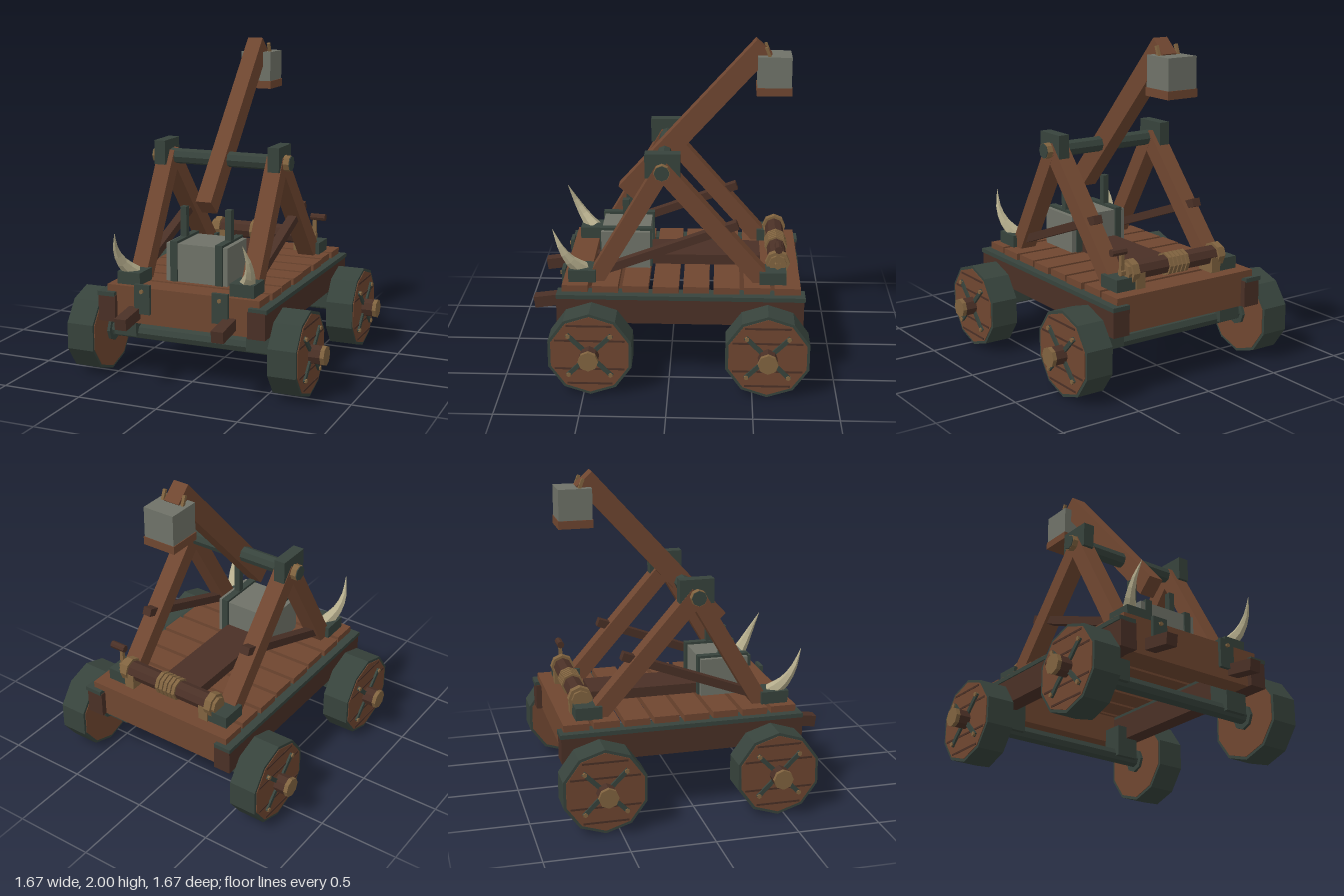
import * as THREE from 'three';

const mat = (name, color) => {
  const m = new THREE.MeshStandardMaterial({ color, flatShading: true });
  m.name = name;
  return m;
};

export function createModel() {
  const wood = mat('wood', 0x6f4630);
  const darkWood = mat('dark wood', 0x4a3026);
  const iron = mat('green iron', 0x37433c);
  const stone = mat('stone', 0x6f7268);
  const brass = mat('brass', 0x80633f);
  const bone = mat('bone', 0xb5ad8c);
  const root = new THREE.Group();
  root.name = 'catapult';

  const add = (name, geo, material, x = 0, y = 0, z = 0, parent = root) => {
    const m = new THREE.Mesh(geo, material);
    m.name = name;
    m.position.set(x, y, z);
    parent.add(m);
    return m;
  };
  // Box given by its limits on each axis
  const box = (name, material, [x0, x1], [y0, y1], [z0, z1], parent = root) =>
    add(name, new THREE.BoxGeometry(x1 - x0, y1 - y0, z1 - z0), material,
      (x0 + x1) / 2, (y0 + y1) / 2, (z0 + z1) / 2, parent);
  // Cylinder lying along x, with a corner pointing up
  const rod = (name, material, r, [x0, x1], y, z, sides = 8, parent = root) =>
    add(name, new THREE.CylinderGeometry(r, r, x1 - x0, sides).rotateY(Math.PI / 2).rotateZ(Math.PI / 2),
      material, (x0 + x1) / 2, y, z, parent);
  // Beam between two [z, y] points
  const beam = (name, material, x, width, thick, [z0, y0], [z1, y1], parent = root) => {
    const m = add(name, new THREE.BoxGeometry(width, Math.hypot(z1 - z0, y1 - y0), thick),
      material, x, (y0 + y1) / 2, (z0 + z1) / 2, parent);
    m.rotation.x = Math.atan2(z1 - z0, y1 - y0);
    return m;
  };
  // Limits mirrored to the given side
  const span = (s, a, b) => (s > 0 ? [a, b] : [-b, -a]);

  // Deck: planks with gaps, cross beams and a central board
  for (let i = 0; i < 8; i++) {
    const z = -0.785 + i * 0.182, w = i % 2 ? 0.49 : 0.497;
    box('deckPlank', wood, [-w, w], [0.555, 0.597], [z, z + 0.156]);
  }
  box('frontCrossBeam', wood, [-0.43, 0.43], [0.375, 0.555], [0.52, 0.645]);
  box('backCrossBeam', wood, [-0.43, 0.43], [0.375, 0.555], [-0.77, -0.65]);
  box('centreBoard', darkWood, [-0.13, 0.13], [0.597, 0.66], [-0.55, 0.14]);

  // Wheel, built for the left side around its own centre
  const buildWheel = () => {
    const g = new THREE.Group();
    g.name = 'wheel';
    rod('tyre', iron, 0.26, [0.562, 0.735], 0, 0, 10, g);
    rod('wheelDisc', wood, 0.242, [0.558, 0.739], 0, 0, 10, g);
    for (const y of [-0.185, -0.09, 0.09, 0.185]) {
      const h = Math.sqrt(0.235 ** 2 - y * y) - 0.01;
      box('plankGap', darkWood, [0.737, 0.742], [y - 0.006, y + 0.006], [-h, h], g);
    }
    for (let i = 0; i < 4; i++) {
      const a = Math.PI / 4 + i * Math.PI / 2, c = Math.cos(a), s = Math.sin(a);
      beam('spoke', iron, 0.745, 0.014, 0.026, [0.04 * c, 0.04 * s], [0.185 * c, 0.185 * s], g);
      rod('spokeBolt', brass, 0.014, [0.745, 0.76], 0.175 * s, 0.175 * c, 6, g);
    }
    rod('hub', darkWood, 0.058, [0.735, 0.81], 0, 0, 8, g);
    rod('hubCap', brass, 0.06, [0.81, 0.835], 0, 0, 8, g);
    rod('innerCollar', iron, 0.075, [0.54, 0.56], 0, 0, 8, g);
    return g;
  };

  for (const z of [0.46, -0.587]) {
    rod('axle', iron, 0.047, [-0.56, 0.56], 0.265, z, 8);
    for (const s of [1, -1]) {
      const w = buildWheel();
      w.position.set(0, 0.262, z);
      if (s < 0) w.rotation.y = Math.PI;
      root.add(w);
      box('axleBracket', iron, span(s, 0.36, 0.51), [0.25, 0.45], [z - 0.07, z + 0.07]);
    }
  }

  // Tapered curved tusk
  const buildTusk = (s) => {
    const path = new THREE.CatmullRomCurve3([[0.365, 0.65, 0.53], [0.408, 0.72, 0.595],
      [0.425, 0.81, 0.65], [0.405, 0.925, 0.702]].map(([x, y, z]) => new THREE.Vector3(s * x, y, z)));
    const n = 6, sides = 6;
    const geo = new THREE.TubeGeometry(path, n, 0.05, sides);
    const pos = geo.attributes.position, v = new THREE.Vector3();
    for (let i = 0; i < pos.count; i++) {
      const t = Math.floor(i / (sides + 1)) / n;
      const c = path.getPointAt(t);
      v.fromBufferAttribute(pos, i).sub(c).multiplyScalar(1 - 0.98 * t).add(c);
      pos.setXYZ(i, v.x, v.y, v.z);
    }
    geo.computeVertexNormals();
    return geo;
  };

  for (const s of [1, -1]) {
    // Side rails with iron strips
    box('sideBeam', darkWood, span(s, 0.425, 0.535), [0.375, 0.535], [-0.805, 0.675]);
    box('sideStrip', iron, span(s, 0.43, 0.543), [0.53, 0.556], [-0.812, 0.675]);
    // Front prongs and iron plates
    beam('frontProng', darkWood, s * 0.307, 0.075, 0.07, [0.4, 0.475], [0.835, 0.415]);
    box('frontPlate', iron, span(s, 0.2, 0.3), [0.44, 0.62], [0.645, 0.667]);
    for (const x of [0.25]) add('plateBolt', new THREE.CylinderGeometry(0.013, 0.013, 0.015, 6)
      .rotateX(Math.PI / 2), brass, s * x, 0.58, 0.672);
    // Corner shoes and tusks
    box('frontShoe', iron, span(s, 0.29, 0.44), [0.595, 0.672], [0.445, 0.61]);
    box('backShoe', iron, span(s, 0.29, 0.44), [0.595, 0.672], [-0.7, -0.54]);
    add('tusk', buildTusk(s), bone);
    // Side frame legs, brace and cap
    beam('frontLeg', wood, s * 0.362, 0.108, 0.1, [0.455, 0.59], [0.035, 1.31]);
    beam('backLeg', wood, s * 0.362, 0.106, 0.105, [-0.56, 0.61], [0.055, 1.31]);
    beam('sideBrace', darkWood, s * 0.366, 0.058, 0.05, [0.4, 0.655], [-0.405, 0.955]);
    box('frameCap', iron, span(s, 0.34, 0.412), [1.25, 1.4], [-0.062, 0.148]);
    rod('pivotNut', brass, 0.049, span(s, 0.412, 0.452), 1.295, 0.045, 8);
    rod('pivotEnd', iron, 0.046, span(s, 0.45, 0.457), 1.295, 0.045, 8);
    // Straps round the counterweight
    box('weightStrap', iron, span(s, 0.125, 0.17), [0.597, 0.845], [0.117, 0.44]);
    box('weightHanger', iron, span(s, 0.128, 0.167), [0.84, 1.03], [0.255, 0.297]);
    // Pins holding the head block
    beam('headPin', brass, s * 0.068, 0.018, 0.018, [-0.585, 1.9], [-0.56, 1.962]);
    // Winch bearings
    rod('winchBearing', brass, 0.074, span(s, 0.29, 0.335), 0.695, -0.65, 8);
    box('winchFoot', brass, span(s, 0.245, 0.31), [0.597, 0.69], [-0.71, -0.59]);
    rod('winchEnd', brass, 0.055, span(s, 0.335, 0.355), 0.695, -0.65, 8);
  }

  // Throwing arm on its pivot
  rod('pivotBar', iron, 0.048, [-0.42, 0.42], 1.295, 0.045, 8);
  beam('throwingArm', wood, 0, 0.1, 0.128, [0.283, 1.033], [-0.55, 1.957]);
  box('headBlock', stone, [-0.1, 0.1], [1.72, 1.908], [-0.715, -0.512]);
  box('headBase', wood, [-0.105, 0.105], [1.673, 1.722], [-0.719, -0.508]);

  // Counterweight
  box('counterweight', stone, [-0.2, 0.2], [0.597, 0.83], [0.13, 0.43]);

  // Winch drum with rope and crank
  rod('winchDrum', darkWood, 0.058, [-0.29, 0.29], 0.695, -0.65, 8);
  for (let i = 0; i < 5; i++) {
    const x = -0.06 + i * 0.03;
    rod('ropeCoil', brass, 0.07, [x - 0.011, x + 0.011], 0.695, -0.65, 8);
  }
  rod('crankAxle', brass, 0.022, [0.33, 0.385], 0.695, -0.65, 6);
  box('crankArm', brass, [0.36, 0.382], [0.68, 0.825], [-0.661, -0.639]);
  rod('crankHandle', darkWood, 0.023, [0.345, 0.445], 0.822, -0.65, 8);

  return root;
}
